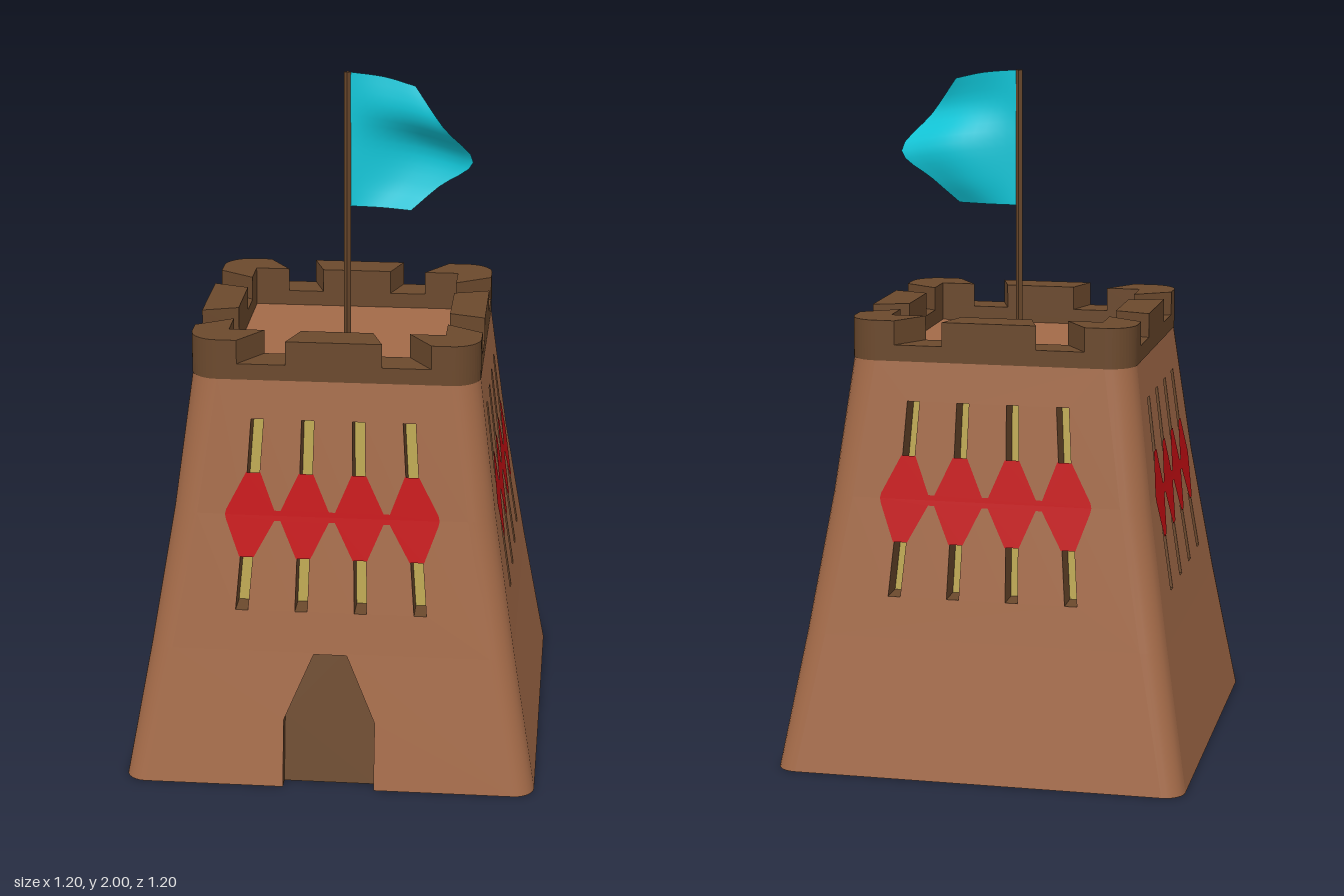
import * as THREE from 'three';

const material = (name, color, side = THREE.FrontSide) => {
  const m = new THREE.MeshStandardMaterial({ color, side });
  m.name = name;
  return m;
};

// Tower profile: height, half width, corner radius
const PROFILE = [[0, 0.6, 0.06], [0.4, 0.53, 0.067], [0.8, 0.466, 0.074], [1.2, 0.414, 0.08]];
const sample = (y, k) => {
  const i = y < 0.4 ? 0 : y < 0.8 ? 1 : 2;
  const a = PROFILE[i], b = PROFILE[i + 1];
  return a[k] + (b[k] - a[k]) * (y - a[0]) / (b[0] - a[0]);
};
const halfWidth = (y) => sample(y, 1);
const radius = (y) => sample(y, 2);

// Columns lean inward with the wall
const COLUMNS = [-1, -1 / 3, 1 / 3, 1];
const columnX = (k, y) => 0.508 * k * halfWidth(y);
const SLIT = 0.018;
const DOOR = [[-0.133, 0], [-0.133, 0.2], [-0.048, 0.396], [0.048, 0.396], [0.133, 0.2], [0.133, 0]];

const shapeOf = (pts) => new THREE.Shape(pts.map(([x, y]) => new THREE.Vector2(x, y)));

// Flat outline bent onto the sloping wall
function onWall(pts, offset = 0) {
  const g = new THREE.ShapeGeometry(shapeOf(pts));
  const p = g.attributes.position;
  for (let i = 0; i < p.count; i++) p.setZ(i, halfWidth(p.getY(i)) + offset);
  g.computeVertexNormals();
  return g;
}

// Smooth surface from a rule f(u, v)
function grid(nu, nv, f) {
  const pos = [], idx = [];
  for (let j = 0; j <= nv; j++) {
    for (let i = 0; i <= nu; i++) pos.push(...f(i / nu, j / nv));
  }
  for (let j = 0; j < nv; j++) {
    for (let i = 0; i < nu; i++) {
      const a = j * (nu + 1) + i, d = a + nu + 1;
      idx.push(a, a + 1, d + 1, a, d + 1, d);
    }
  }
  const g = new THREE.BufferGeometry();
  g.setAttribute('position', new THREE.Float32BufferAttribute(pos, 3));
  g.setIndex(idx);
  g.computeVertexNormals();
  return g;
}

// Side walls of a recess along an outline
function reveal(pts, depth) {
  const n = pts.length - 1;
  const g = grid(n, 1, (u, v) => {
    const [x, y] = pts[Math.round(u * n)];
    return [x, y, halfWidth(y) - v * depth];
  }).toNonIndexed();
  g.computeVertexNormals();
  return g;
}

export function createModel() {
  const clay = material('clay', 0xa36a48);
  const clayTwoSided = material('clay', 0xa36a48, THREE.DoubleSide);
  clayTwoSided.name = 'clay inside';
  const brown = material('dark brown', 0x6b492d, THREE.DoubleSide);
  const red = material('red', 0xc50f13);
  const straw = material('straw', 0xb8a34e);
  const cyan = material('cyan', 0x10c6d8, THREE.DoubleSide);

  const model = new THREE.Group();
  model.name = 'tower';
  const add = (parent, name, geometry, mat) => {
    const m = new THREE.Mesh(geometry, mat);
    m.name = name;
    parent.add(m);
    return m;
  };

  for (let s = 0; s < 4; s++) {
    const side = new THREE.Group();
    side.name = 'wallSide' + s;
    side.rotation.y = s * Math.PI / 2;
    model.add(side);
    const edge = (y) => halfWidth(y) - radius(y);

    // Wall in three bands, notched for the door and the slits
    const base = [[-edge(0), 0], ...(s === 0 ? DOOR : []), [edge(0), 0], [edge(0.4), 0.4], [-edge(0.4), 0.4]];
    add(side, 'wallBase', onWall(base), clay);
    for (const [y, end] of [[0.4, 0.52], [1.2, 1.08]]) {
      const pts = [[-edge(y), y], [-edge(0.8), 0.8]];
      for (const k of COLUMNS) {
        const a = columnX(k, 0.8), b = columnX(k, end);
        pts.push([a - SLIT, 0.8], [b - SLIT, end], [b + SLIT, end], [a + SLIT, 0.8]);
      }
      pts.push([edge(0.8), 0.8], [edge(y), y]);
      add(side, 'wallBand', onWall(pts), clay);
    }

    // Rounded corner
    add(side, 'wallCorner', grid(6, 3, (u, v) => {
      const [y, w, r] = PROFILE[Math.round(v * 3)];
      const a = u * Math.PI / 2;
      return [w - r + r * Math.sin(a), y, w - r + r * Math.cos(a)];
    }), clay);

    // Window slits
    for (const k of COLUMNS) {
      const left = [0.52, 0.8, 1.08].map((y) => [columnX(k, y) - SLIT, y]);
      const right = [1.08, 0.8, 0.52].map((y) => [columnX(k, y) + SLIT, y]);
      const loop = [...left, ...right];
      add(side, 'slitReveal', reveal([...loop, loop[0]], 0.08), brown);
      add(side, 'slitBack', onWall(loop, -0.08), straw);
    }

    // Painted diamond band, upper and lower halves
    for (const [tip, waist] of [[0.925, 0.815], [0.677, 0.785]]) {
      const pts = [[-0.31, 0.8]];
      for (const k of COLUMNS) {
        const c = columnX(k, 0.8), t = columnX(k, tip);
        pts.push([c - 0.07, waist], [t - 0.021, tip], [t + 0.021, tip], [c + 0.07, waist]);
      }
      pts.push([0.31, 0.8]);
      add(side, 'diamondBand', onWall(pts, 0.003), red);
    }
  }

  // Door recess
  add(model, 'doorReveal', reveal(DOOR, 0.042), brown);
  add(model, 'door', onWall(DOOR, -0.042), brown);

  // Hollow inside and underside rim
  const inside = new THREE.CylinderGeometry(0.312 * Math.SQRT2, 0.45 * Math.SQRT2, 1.19, 4, 1, true).toNonIndexed();
  inside.computeVertexNormals();
  inside.rotateY(Math.PI / 4).translate(0, 0.595, 0);
  add(model, 'insideWalls', inside, clayTwoSided);

  const square = (h) => [[-h, -h], [h, -h], [h, h], [-h, h]];
  const rounded = (w, r) => {
    const s = new THREE.Shape();
    [[1, 1, 0], [-1, 1, 1], [-1, -1, 2], [1, -1, 3]].forEach(([x, y, q]) =>
      s.absarc(x * (w - r), y * (w - r), r, q * Math.PI / 2, (q + 1) * Math.PI / 2, false));
    return s;
  };
  const rim = new THREE.Shape();
  rim.moveTo(0.133, 0.6).lineTo(0.133, 0.558).lineTo(-0.133, 0.558).lineTo(-0.133, 0.6);
  [[-1, 1, 1], [-1, -1, 2], [1, -1, 3], [1, 1, 0]].forEach(([x, y, q]) =>
    rim.absarc(x * 0.54, y * 0.54, 0.06, q * Math.PI / 2, (q + 1) * Math.PI / 2, false));
  rim.holes.push(shapeOf(square(0.45)));
  add(model, 'bottomRim', new THREE.ShapeGeometry(rim, 6).rotateX(Math.PI / 2), brown);

  // Roof floor
  const floor = new THREE.PlaneGeometry(0.626, 0.626).rotateX(-Math.PI / 2).translate(0, 1.195, 0);
  add(model, 'roofFloor', floor, clayTwoSided);

  // Battlements: a ring with radial gaps between the merlons
  const slab = (shape, y0, y1) => new THREE.ExtrudeGeometry(shape, { depth: y1 - y0, bevelEnabled: false, curveSegments: 6 })
    .rotateX(-Math.PI / 2).translate(0, y0, 0);
  const ring = rounded(0.416, 0.08);
  ring.holes.push(shapeOf(square(0.312)));
  add(model, 'battlementRing', slab(ring, 1.193, 1.24), brown);
  const middle = shapeOf([[-0.138, 0.416], [-0.104, 0.312], [0.104, 0.312], [0.138, 0.416]]);
  const corner = new THREE.Shape();
  corner.moveTo(0.21, 0.312).lineTo(0.312, 0.312).lineTo(0.312, 0.21).lineTo(0.416, 0.278);
  corner.absarc(0.336, 0.336, 0.08, 0, Math.PI / 2, false);
  corner.lineTo(0.278, 0.416);
  for (let s = 0; s < 4; s++) {
    add(model, 'middleMerlon', slab(middle, 1.24, 1.31), brown).rotation.y = s * Math.PI / 2;
    add(model, 'cornerMerlon', slab(corner, 1.24, 1.31), brown).rotation.y = s * Math.PI / 2;
  }

  // Flagpole
  const pole = new THREE.CylinderGeometry(0.01, 0.01, 0.81, 4).toNonIndexed();
  pole.computeVertexNormals();
  add(model, 'flagpole', pole.translate(0, 1.595, 0), brown);

  // Waving flag lofted from hoist to trailing edge
  const curve = (pts) => new THREE.CatmullRomCurve3(pts.map((p) => new THREE.Vector3(...p)));
  const columns = [
    curve([[0.006, 1.6, 0], [0.006, 1.7, 0], [0.006, 1.8, 0], [0.006, 1.9, 0], [0.006, 2, 0]]),
    curve([[0.1, 1.6, 0.01], [0.15, 1.68, -0.01], [0.2, 1.78, -0.012], [0.16, 1.88, 0.035], [0.11, 1.99, 0.012]]),
    curve([[0.19, 1.6, 0.035], [0.27, 1.67, 0.022], [0.37, 1.75, 0.04], [0.285, 1.86, 0.082], [0.2, 1.97, 0.035]]),
  ];
  add(model, 'flag', grid(12, 16, (u, v) =>
    new THREE.CatmullRomCurve3(columns.map((c) => c.getPoint(v))).getPoint(u).toArray()), cyan);

  return model;
}
